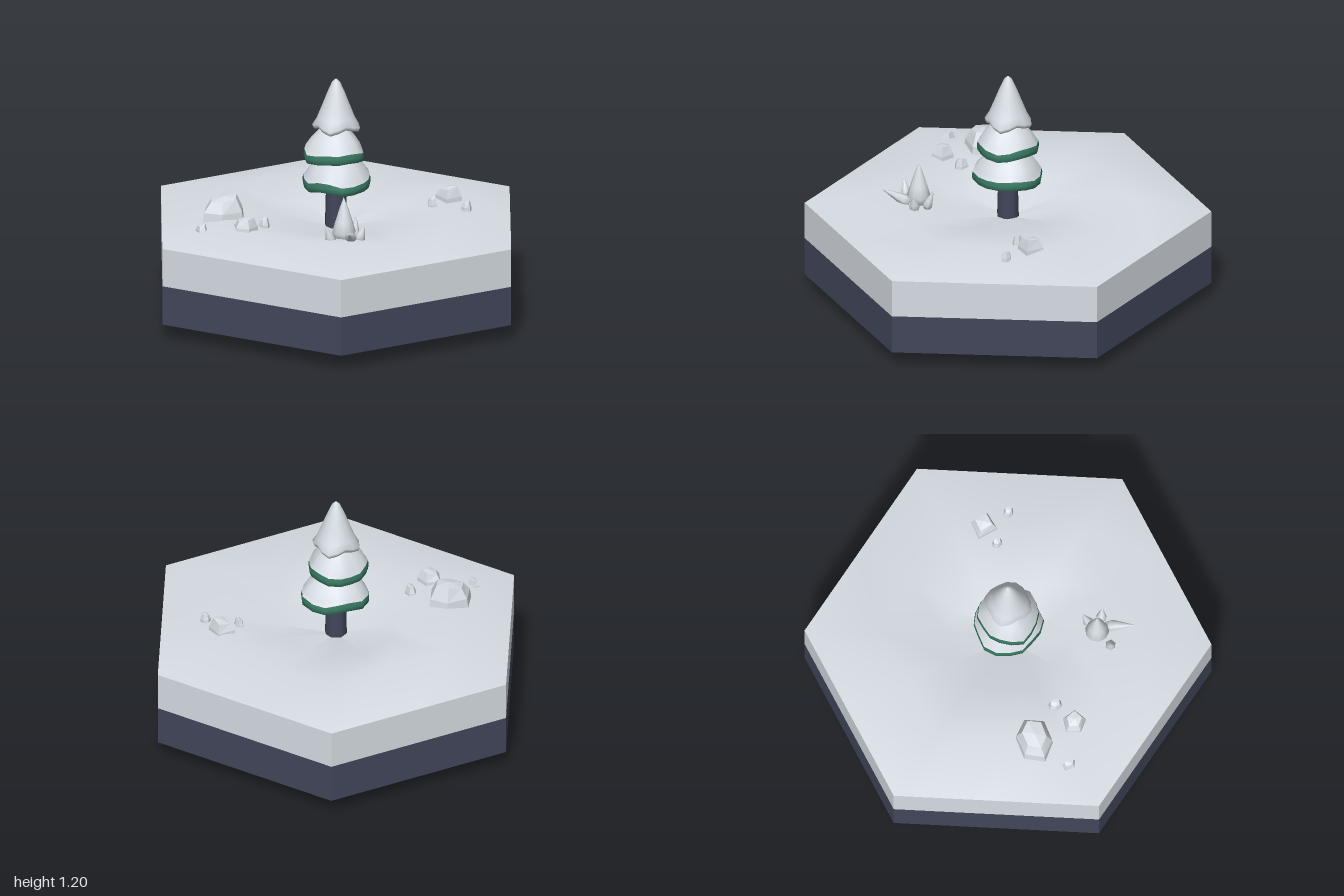
import * as THREE from 'three';

const mat = (name, color) => {
  const m = new THREE.MeshStandardMaterial({ color });
  m.name = name;
  return m;
};

// Skin a list of closed rings, running from the top centre down and under.
function loft(rings, faceted = false) {
  const n = rings[0].length, pos = rings.flat(2), idx = [];
  for (let i = 0; i < rings.length - 1; i++) {
    for (let j = 0; j < n; j++) {
      const k = (j + 1) % n, a = i * n + j, a2 = i * n + k, b = a + n, b2 = a2 + n;
      idx.push(a, b2, b, a, a2, b2);
    }
  }
  let g = new THREE.BufferGeometry();
  g.setAttribute('position', new THREE.Float32BufferAttribute(pos, 3));
  g.setIndex(idx);
  if (faceted) g = g.toNonIndexed();
  g.computeVertexNormals();
  return g;
}

// Ring of n points; fn(angle, index) gives [radius, y].
const ring = (n, fn) => Array.from({ length: n }, (_, j) => {
  const t = (j / n) * Math.PI * 2, [r, y] = fn(t, j);
  return [Math.cos(t) * r, y, Math.sin(t) * r];
});

export function createModel() {
  const model = new THREE.Group();
  const snow = mat('snow', 0xd6dce3);
  const slate = mat('slate', 0x41465a);
  const green = mat('pineGreen', 0x3c7d66);
  const under = mat('undersideGrey', 0xc4cbd0);
  const add = (name, geo, material, parent = model) => {
    const m = new THREE.Mesh(geo, material);
    m.name = name;
    parent.add(m);
    return m;
  };

  // Hexagonal outline: six corners plus the edge midpoints
  const corners = [[1, 0], [0.49, 0.885], [-0.49, 0.885], [-1, 0], [-0.49, -0.885], [0.49, -0.885]];
  const outline = corners.flatMap((c, i) => {
    const d = corners[(i + 1) % 6];
    return [c, [(c[0] + d[0]) / 2, (c[1] + d[1]) / 2]];
  });
  const hex = (s, y) => outline.map(([x, z], j) => [x * s, Array.isArray(y) ? y[j] : y, z * s]);

  // Rolling snow surface, hollow around the tree
  const inner = [0.5, 0.47, 0.49, 0.47, 0.49, 0.475, 0.505, 0.49, 0.5, 0.475, 0.495, 0.465];
  const hills = [0.545, 0.51, 0.545, 0.495, 0.55, 0.52, 0.545, 0.54, 0.545, 0.55, 0.545, 0.495];
  add('snowGround', loft([hex(0, 0.425), hex(0.32, inner), hex(0.64, hills), hex(1, 0.475)]), snow);

  // Layered sides and shallow pointed underside
  add('snowLayer', loft([hex(1, 0.475), hex(1, 0.28)], true), snow);
  add('slateLayer', loft([hex(1, 0.28), hex(1, 0.08)], true), slate);
  add('underside', loft([hex(1, 0.08), hex(0.012, 0.03), hex(0, 0)], true), under);

  // Tree
  const tree = new THREE.Group();
  tree.name = 'tree';
  model.add(tree);
  const trunk = add('trunk', new THREE.CylinderGeometry(0.05, 0.058, 0.28, 8), slate, tree);
  trunk.position.y = 0.54;

  const N = 16;
  // One bough tier: thick green rim under a cap of snow
  function tier(name, y, r, top, topR, dx, phase) {
    const g = new THREE.Group();
    g.name = name;
    g.position.x = dx;
    tree.add(g);
    const wob = t => 1 + 0.045 * Math.cos(3 * t + phase) + 0.03 * Math.cos(6 * t);
    const lift = t => 0.006 * Math.sin(3 * t + phase) + 0.004 * Math.cos(5 * t);
    const row = (rad, h, k = 1) => ring(N, t => [rad * wob(t), h + k * lift(t)]);
    const edge = row(r * 0.975, y + 0.05, 1.4);
    add(name + 'Snow', loft([row(topR * 0.7, top + 0.015, 0), row(topR, top, 0),
      row((topR + r) * 0.52, (top + y + 0.05) / 2, 0.5), row(r * 0.89, y + 0.07, 1.2), edge]), snow, g);
    add(name + 'Green', loft([edge, row(r, y + 0.03), row(r * 0.98, y + 0.006),
      row(r * 0.9, y), row(0.03, y + 0.025, 0)]), green, g);
  }
  tier('lowerTier', 0.637, 0.172, 0.785, 0.09, 0.007, 0.4);
  tier('middleTier', 0.788, 0.152, 0.945, 0.07, -0.01, 2.6);

  // Snow-covered crown with a square, drooping skirt
  const crown = [[0, 1.203, 0], [0.02, 1.185, 0], [0.044, 1.13, 0], [0.071, 1.06, 0.2], [0.094, 1.0, 0.6],
    [0.114, 0.965, 1], [0.106, 0.945, 1], [0.04, 0.965, 0.3]];
  add('crown', loft(crown.map(([r, y, k]) => ring(N, t => {
    const c = -Math.cos(4 * t);
    return [r * (1 + 0.08 * k * c), y - 0.012 * k * c];
  }))), snow, tree);

  // Faceted flat-topped rocks: [x, z, half width, half depth, base, top, sides, turn]
  const rocks = [
    [-0.565, -0.14, 0.118, 0.1, 0.5, 0.64, 6, 0],
    [-0.57, 0.08, 0.064, 0.064, 0.5, 0.59, 5, 0.5],
    [-0.75, -0.04, 0.027, 0.042, 0.49, 0.552, 5, 0.2],
    [-0.44, 0.04, 0.029, 0.04, 0.49, 0.56, 6, 0.3],
    [0.565, 0.15, 0.07, 0.076, 0.49, 0.59, 4, 0.75],
    [0.455, 0.17, 0.025, 0.03, 0.48, 0.557, 6, 0.1],
    [0.578, 0.295, 0.028, 0.028, 0.49, 0.55, 6, 0.4],
  ];
  rocks.forEach(([x, z, w, d, base, top, n, turn], i) => {
    const h = top - base, c = Math.cos(turn), q = Math.sin(turn);
    const row = (s, y, tilt) => ring(n, (t, j) => [s * (1 + 0.07 * Math.sin(j * 2.3 + i)), y + tilt * Math.cos(t)])
      .map(([px, py, pz]) => [(px * c - pz * q) * w, py, (px * q + pz * c) * d]);
    add('rock', loft([row(0, h, 0), row(0.62, h * 0.93, h * 0.1), row(0.92, h * 0.5, 0), row(1, 0, 0)], true), snow)
      .position.set(x, base, z);
  });

  // Snowy sapling: pointed buds running from a base to a tip
  const sapling = new THREE.Group();
  sapling.name = 'sapling';
  model.add(sapling);
  function bud(name, from, to, r, sides) {
    const a = new THREE.Vector3(...from), dir = new THREE.Vector3(...to).sub(a), len = dir.length();
    const prof = [[0, 0], [0.7, 0], [1, 0.2], [0.72, 0.45], [0.32, 0.78], [0, 1]]
      .map(([x, y]) => new THREE.Vector2(x * r, y * len));
    const m = add(name, new THREE.LatheGeometry(prof, sides), snow, sapling);
    m.position.copy(a);
    m.quaternion.setFromUnitVectors(new THREE.Vector3(0, 1, 0), dir.normalize());
  }
  bud('saplingTop', [-0.19, 0.5, 0.4], [-0.19, 0.725, 0.4], 0.06, 10);
  bud('saplingLeaf', [-0.275, 0.5, 0.43], [-0.31, 0.6, 0.425], 0.028, 6);
  bud('saplingLeaf', [-0.135, 0.5, 0.45], [-0.11, 0.585, 0.47], 0.028, 6);
  bud('saplingLeaf', [-0.125, 0.5, 0.39], [-0.098, 0.6, 0.365], 0.026, 6);
  bud('saplingLeaf', [-0.18, 0.52, 0.455], [-0.26, 0.585, 0.57], 0.03, 6);

  return model;
}
